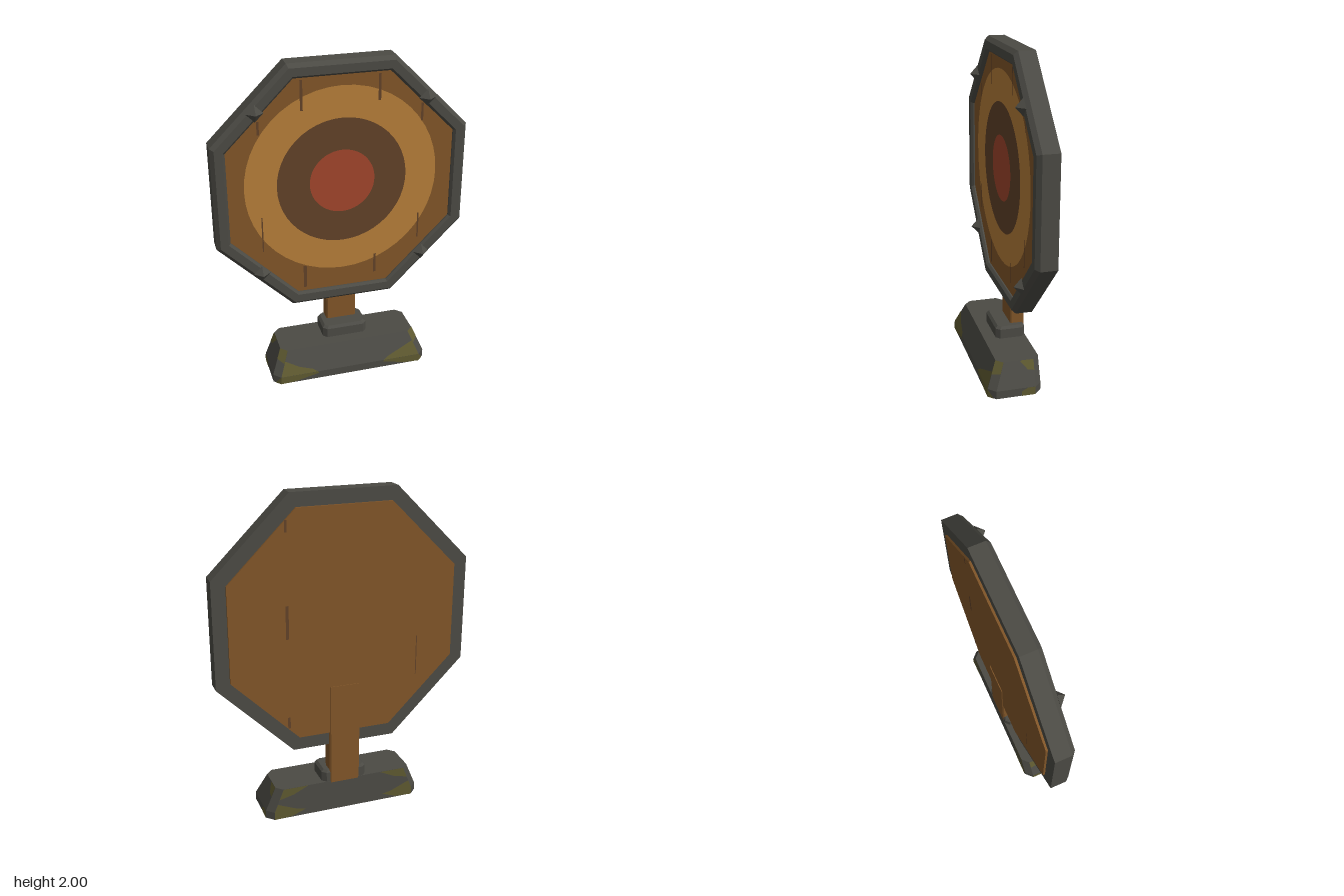
import * as THREE from 'three';

const mat = (name, color) => {
  const m = new THREE.MeshStandardMaterial({ color });
  m.name = name;
  return m;
};

// Flat-faced solid through a list of equal-length rings
function loft(rings, closed = false) {
  const p = [], n = rings[0].length;
  const tri = (...v) => v.forEach(q => p.push(q.x, q.y, q.z));
  const spans = closed ? rings.length : rings.length - 1;
  for (let r = 0; r < spans; r++) {
    const a = rings[r], b = rings[(r + 1) % rings.length];
    for (let i = 0; i < n; i++) {
      const j = (i + 1) % n;
      tri(a[i], a[j], b[j]);
      tri(a[i], b[j], b[i]);
    }
  }
  if (!closed) {
    const lo = rings[0], hi = rings[rings.length - 1];
    for (let i = 1; i < n - 1; i++) {
      tri(lo[0], lo[i + 1], lo[i]);
      tri(hi[0], hi[i], hi[i + 1]);
    }
  }
  const g = new THREE.BufferGeometry();
  g.setAttribute('position', new THREE.Float32BufferAttribute(p, 3));
  g.computeVertexNormals();
  return g;
}

// Regular octagon in the xy plane, given its apothem
const octagon = (a, z) => Array.from({ length: 8 }, (_, i) => {
  const t = (i + 0.5) * Math.PI / 4, r = a / Math.cos(Math.PI / 8);
  return new THREE.Vector3(r * Math.cos(t), 1.225 + r * Math.sin(t), z);
});

// Horizontal rectangle with cut corners
function cutRect(hx, zBack, zFront, cut, y) {
  const half = [[hx - cut, zFront], [hx, zFront - cut], [hx, zBack + cut], [hx - cut, zBack]];
  const other = half.map(([x, z]) => [-x, z]).reverse();
  return [...half, ...other].map(([x, z]) => new THREE.Vector3(x, y, z));
}

export function createModel() {
  const group = new THREE.Group();
  const metal = mat('dark metal', 0x4b4a44);
  const wood = mat('wood', 0x805528);
  const tan = mat('tan paint', 0xb57d38);
  const brown = mat('dark brown paint', 0x614128);
  const red = mat('red paint', 0xa0452b);
  const moss = mat('moss', 0x5e5930);
  const add = (name, geo, material) => {
    const m = new THREE.Mesh(geo, material);
    m.name = name;
    group.add(m);
    return m;
  };

  // Base: vertical foot, then sloping sides with a flat back
  const base = [
    cutRect(0.5, -0.162, 0.163, 0.043, 0),
    cutRect(0.5, -0.162, 0.163, 0.043, 0.05),
    cutRect(0.437, -0.162, 0.1, 0.04, 0.2),
  ];
  add('base', loft(base), metal);

  // Collar and post
  add('collar', loft([
    cutRect(0.143, -0.16, 0.025, 0.025, 0.19),
    cutRect(0.143, -0.16, 0.025, 0.025, 0.26),
    cutRect(0.128, -0.15, 0.01, 0.02, 0.275),
  ]), metal);
  add('post', loft([
    cutRect(0.097, -0.163, -0.075, 0.008, 0.19),
    cutRect(0.097, -0.163, -0.075, 0.008, 0.832),
  ]), wood);

  // Octagonal frame and board
  add('frame', loft([
    octagon(0.775, -0.145), octagon(0.775, -0.045), octagon(0.752, -0.02),
    octagon(0.703, -0.02), octagon(0.69, -0.035), octagon(0.69, -0.145),
  ], true), metal);
  add('board', loft([octagon(0.692, -0.158), octagon(0.692, -0.044)]), wood);

  // Painted target rings
  [['outerRing', 0.592, tan], ['middleRing', 0.398, brown], ['bullseye', 0.2, red]]
    .forEach(([name, r, m], i) => {
      add(name, new THREE.CircleGeometry(r, 48), m).position.set(0, 1.258, -0.0428 + i * 0.0012);
    });

  // Plank seam marks: x, centre height, width, length
  const seam = (x, y, w, h, z) => {
    const m = add('plankSeam', new THREE.PlaneGeometry(w, h), brown);
    m.position.set(x, y, z);
    return m;
  };
  [[-0.24, 1.81, 0.016, 0.18], [-0.24, 0.635, 0.02, 0.15], [0.225, 1.82, 0.016, 0.16],
    [0.21, 0.665, 0.016, 0.13], [-0.495, 1.64, 0.014, 0.08], [0.49, 1.645, 0.014, 0.11],
    [-0.495, 0.965, 0.008, 0.23], [0.49, 0.895, 0.01, 0.17]]
    .forEach(s => seam(...s, -0.041));
  [[0.35, 1.82, 0.014, 0.07], [0.35, 1.265, 0.018, 0.2], [0.35, 0.64, 0.016, 0.07],
    [-0.46, 0.965, 0.006, 0.25]]
    .forEach(s => { seam(...s, -0.1595).rotation.y = Math.PI; });

  // Pyramid studs on the diagonal sides
  for (const sx of [-1, 1]) for (const sy of [-1, 1]) {
    const g = new THREE.ConeGeometry(0.052, 0.047, 4).toNonIndexed();
    g.computeVertexNormals();
    const stud = add('stud', g, metal);
    stud.rotation.x = Math.PI / 2;
    stud.position.set(sx * 0.512, 1.225 + sy * 0.512, 0.002);
  }

  // Moss patches laid on a side of the base, in that side's own (u, v)
  function patch(level, side, outline) {
    const a = base[level][side], b = base[level][(side + 1) % 8];
    const c = base[level + 1][side], d = base[level + 1][(side + 1) % 8];
    const normal = b.clone().sub(a).cross(c.clone().sub(a)).normalize();
    const pts = outline.map(([u, v]) =>
      a.clone().lerp(b, u).lerp(c.clone().lerp(d, u), v).addScaledVector(normal, 0.002));
    const p = [];
    for (let i = 1; i < pts.length - 1; i++)
      for (const q of [pts[0], pts[i], pts[i + 1]]) p.push(q.x, q.y, q.z);
    const g = new THREE.BufferGeometry();
    g.setAttribute('position', new THREE.Float32BufferAttribute(p, 3));
    g.computeVertexNormals();
    add('mossPatch', g, moss);
  }
  // The same patch and its mirror image on the opposite side
  function patchPair(level, side, outline) {
    patch(level, side, outline);
    patch(level, (14 - side) % 8, outline.map(([u, v]) => [1 - u, v]).reverse());
  }
  // front
  patchPair(1, 7, [[0, 0], [0.26, 0], [0.22, 0.14], [0.12, 0.3], [0, 0.6]]);
  patchPair(0, 7, [[0, 0], [0.1, 0.1], [0.27, 0.8], [0.26, 1], [0, 1]]);
  // front corners
  patchPair(1, 0, [[0, 0.5], [1, 0.6], [1, 1], [0, 1]]);
  patchPair(0, 0, [[0, 0], [0.7, 0], [0, 1]]);
  // sides, towards the back
  patchPair(1, 1, [[0.57, 0.95], [0.8, 0.65], [1, 0.6], [1, 1], [0.57, 1]]);
  patchPair(0, 1, [[0.65, 0], [1, 0], [1, 1], [0.8, 1], [0.65, 0.6]]);
  // back
  patchPair(1, 3, [[0, 0], [0.16, 0], [0, 0.35]]);
  patchPair(0, 3, [[0, 0], [0.12, 0.1], [0.22, 0.8], [0.16, 1], [0, 1]]);
  patchPair(1, 3, [[0, 0.55], [0.1, 0.7], [0.2, 1], [0, 1]]);

  return group;
}
